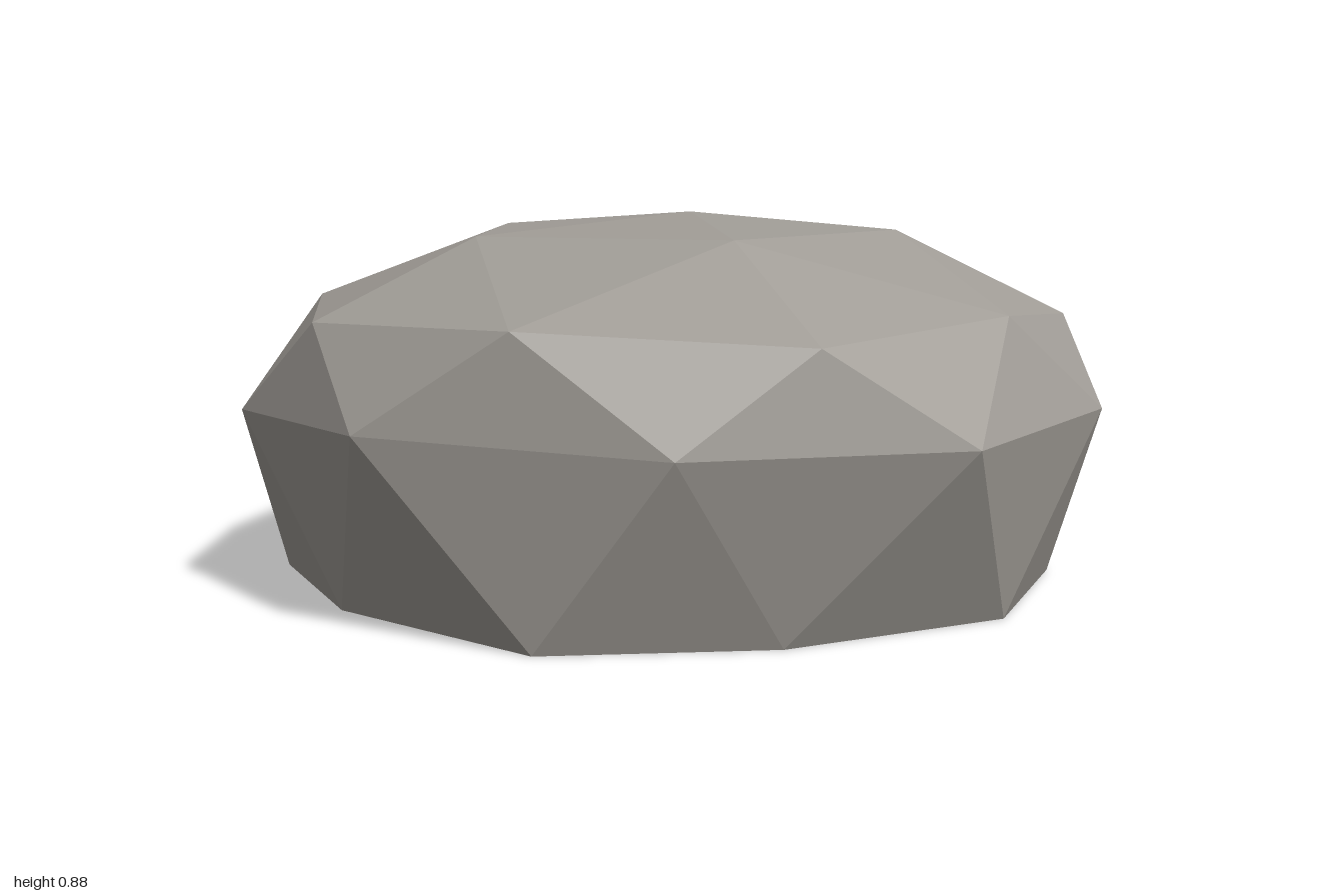
import * as THREE from 'three';

// Rings of [x, y, z] points, each running from +x towards +z
const crown = [0.02, 0.875, -0.02];
const cap = [
  [0.51, 0.835, 0.03], [0.13, 0.835, 0.46], [-0.46, 0.83, 0.26],
  [-0.46, 0.83, -0.33], [0.15, 0.825, -0.45],
];
const shoulder = [
  [0.915, 0.635, 0.01], [0.73, 0.67, 0.43], [0.31, 0.64, 0.8], [-0.32, 0.67, 0.785], [-0.79, 0.655, 0.48],
  [-0.875, 0.675, 0], [-0.79, 0.63, -0.51], [-0.29, 0.66, -0.735], [0.3, 0.635, -0.81], [0.69, 0.68, -0.48],
];
const waist = [
  [0.965, 0.445, 0.28], [0.64, 0.425, 0.745], [0.02, 0.425, 0.905], [-0.66, 0.445, 0.73], [-1, 0.435, 0.3],
  [-0.97, 0.435, -0.26], [-0.65, 0.43, -0.76], [0.02, 0.43, -0.905], [0.63, 0.43, -0.78], [1, 0.425, -0.28],
];
const base = [
  [0.895, 0, -0.01], [0.73, 0, 0.46], [0.24, 0, 0.73], [-0.28, 0, 0.8], [-0.75, 0, 0.44],
  [-0.975, 0, 0], [-0.76, 0, -0.47], [-0.29, 0, -0.83], [0.28, 0, -0.77], [0.775, 0, -0.51],
];

export function createModel() {
  const positions = [];
  const tri = (a, b, c) => positions.push(...a, ...b, ...c);
  const at = (ring, i) => ring[(i + ring.length) % ring.length];

  // Top: five facets round the crown, then the fans down to the shoulder
  for (let i = 0; i < 5; i++) {
    const a = cap[i], b = at(cap, i + 1);
    tri(crown, b, a);
    tri(a, b, at(shoulder, 2 * i + 1));
    tri(a, at(shoulder, 2 * i + 1), at(shoulder, 2 * i));
    tri(a, at(shoulder, 2 * i), at(shoulder, 2 * i - 1));
  }

  // Sides: zigzag bands above and below the waist, and the flat underside
  for (let k = 0; k < 10; k++) {
    const w0 = waist[k], w1 = at(waist, k + 1);
    const s0 = shoulder[k], s1 = at(shoulder, k + 1);
    const b0 = base[k], b1 = at(base, k + 1);
    tri(s0, s1, w0);
    tri(s1, w1, w0);
    tri(w0, w1, b1);
    tri(w0, b1, b0);
    tri([0, 0, 0], b0, b1);
  }

  const geometry = new THREE.BufferGeometry();
  geometry.setAttribute('position', new THREE.Float32BufferAttribute(positions, 3));
  geometry.computeVertexNormals();

  // Warm grey stone
  const rock = new THREE.Mesh(
    geometry,
    new THREE.MeshStandardMaterial({ color: 0xa09c96, flatShading: true })
  );
  rock.name = 'rock';

  const model = new THREE.Group();
  model.name = 'boulder';
  model.add(rock);
  return model;
}
